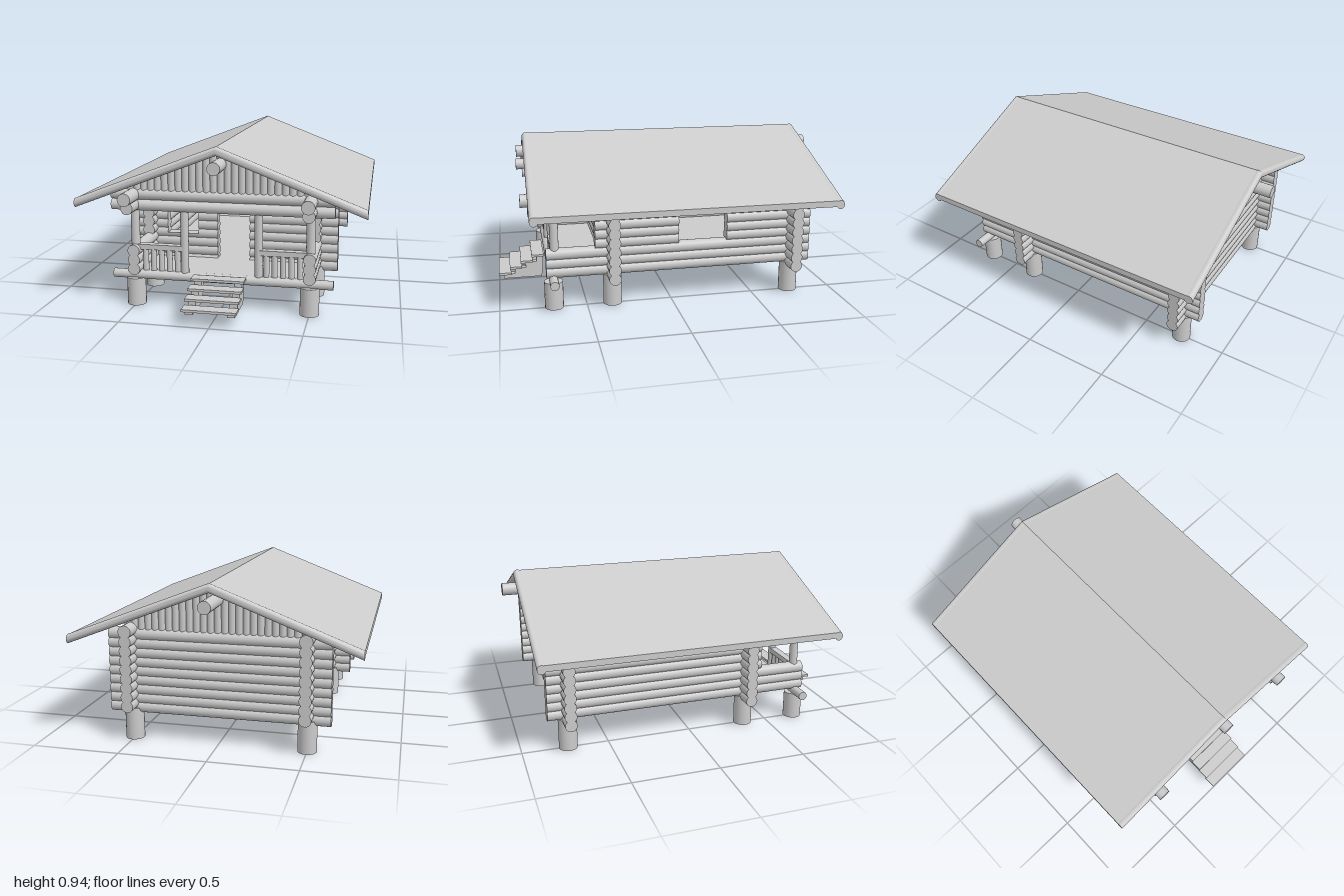
import * as THREE from 'three';
import { toCreasedNormals } from 'three/addons/utils/BufferGeometryUtils.js';

const mat = new THREE.MeshStandardMaterial({ color: 0xcccccc });
const R = 0.035;        // wall log radius
const STEP = 0.053;     // log course height
const SLOPE = 0.385;    // roof fall per unit of x

function add(parent, name, geo, x = 0, y = 0, z = 0) {
  const mesh = new THREE.Mesh(geo, mat);
  mesh.name = name;
  mesh.position.set(x, y, z);
  parent.add(mesh);
  return mesh;
}

const box = (p, name, w, h, d, x, y, z) => add(p, name, new THREE.BoxGeometry(w, h, d), x, y, z);

// Upright round pole between two heights
const pole = (p, name, r, y0, y1, x, z) =>
  add(p, name, new THREE.CylinderGeometry(r, r, y1 - y0, 20), x, (y0 + y1) / 2, z);

// Lying log from a to b along 'x' or 'z'; half = 1 keeps the upper half, -1 the lower
function log(p, name, axis, a, b, y, fixed, r = R, half = 0) {
  let geo;
  if (half) {
    const shape = new THREE.Shape();
    shape.absarc(0, 0, r, half > 0 ? 0 : Math.PI, half > 0 ? Math.PI : 2 * Math.PI, false);
    geo = new THREE.ExtrudeGeometry(shape, { depth: b - a, bevelEnabled: false, curveSegments: 10 });
    geo = toCreasedNormals(geo.translate(0, 0, (a - b) / 2), 0.6);
  } else {
    geo = new THREE.CylinderGeometry(r, r, b - a, 20).rotateX(Math.PI / 2);
  }
  if (axis === 'x') geo.rotateY(Math.PI / 2);
  const mid = (a + b) / 2;
  return add(p, name, geo, axis === 'x' ? mid : fixed, y, axis === 'x' ? fixed : mid);
}

// One course of a wall, interrupted by openings {a, b, lo, hi}
function course(p, name, axis, start, end, y, fixed, openings = []) {
  let from = start;
  for (const o of openings) {
    const atSill = Math.abs(y - o.lo) < 0.014, atHead = Math.abs(y - o.hi) < 0.014;
    if (!atSill && !atHead && (y < o.lo || y > o.hi)) continue;
    log(p, name, axis, from, o.a, y, fixed);
    if (atSill || atHead) log(p, name, axis, o.a, o.b, y, fixed, R, atHead ? 1 : -1);
    from = o.b;
  }
  log(p, name, axis, from, end, y, fixed);
}

// Vertical poles filling the triangle under the roof
function gable(p, name, z, bottom) {
  const g = new THREE.Group();
  g.name = name;
  p.add(g);
  for (let i = -13; i <= 13; i++) {
    const x = i * 0.04, top = 0.905 - SLOPE * Math.abs(x);
    if (top > bottom + 0.02) pole(g, 'gablePole', 0.021, bottom, top, x, z);
  }
}

function section(parent, name) {
  const g = new THREE.Group();
  g.name = name;
  parent.add(g);
  return g;
}

export function createModel() {
  const model = new THREE.Group();
  model.name = 'logCabin';

  // Foundation posts
  const base = section(model, 'foundation');
  for (const x of [-0.5, 0.5]) {
    for (const [z, h] of [[0.69, 0.16], [0.35, 0.185], [-0.735, 0.185]]) {
      pole(base, 'foundationPost', 0.054, 0, h, x, z);
    }
  }
  box(model, 'floor', 1.0, 0.016, 1.425, 0, 0.192, -0.022);

  // Side walls: low courses form the porch parapet, top ones carry the roof
  const sideWindow = { a: -0.33, b: -0.04, lo: 0.35, hi: 0.535 };
  for (const s of [-1, 1]) {
    const wall = section(model, s > 0 ? 'leftWall' : 'rightWall');
    for (let i = 0; i < 8; i++) {
      const front = i < 3 ? 0.73 : i < 7 ? 0.45 : 0.82;
      course(wall, 'sideLog', 'z', -0.85, front, 0.215 + i * STEP, s * 0.5, s > 0 ? [sideWindow] : []);
    }
    log(wall, 'topPlate', 'z', -0.85, 0.86, 0.642, s * 0.5, 0.037);
  }

  // Back wall and inner front wall with window and doorway
  const frontOpenings = [
    { a: -0.4, b: -0.21, lo: 0.343, hi: 0.54 },
    { a: -0.09, b: 0.105, lo: 0.195, hi: 0.508 },
  ];
  const back = section(model, 'backWall'), front = section(model, 'frontWall');
  for (let i = 0; i < 9; i++) {
    const y = 0.188 + i * STEP;
    course(back, 'backLog', 'x', -0.63, 0.63, y, -0.735);
    course(front, 'frontLog', 'x', -0.63, 0.63, y, 0.35, frontOpenings);
  }

  // Porch beams, posts and railings
  const porch = section(model, 'porch');
  log(porch, 'sillBeam', 'x', -0.63, 0.63, 0.175, 0.69, 0.026);
  log(porch, 'lowerBeam', 'x', -0.63, 0.63, 0.582, 0.685, 0.032);
  log(porch, 'upperBeam', 'x', -0.63, 0.63, 0.645, 0.685, 0.032);
  for (const s of [-1, 1]) {
    pole(porch, 'cornerPost', 0.025, 0.34, 0.57, s * 0.5, 0.68);
    pole(porch, 'doorwayPost', 0.023, 0.19, 0.57, s * 0.212, 0.68);
    box(porch, 'handrail', 0.27, 0.03, 0.045, s * 0.355, 0.34, 0.68);
    for (let i = 0; i < 5; i++) {
      pole(porch, 'baluster', 0.017, 0.195, 0.33, s * (0.255 + i * 0.047), 0.68);
    }
  }

  // Steps: stepped stringers with four treads
  const steps = section(model, 'steps');
  const treads = [0.09, 0.125, 0.16, 0.195];
  treads.forEach((y, i) => box(steps, 'tread', 0.3, 0.014, 0.074, 0, y, 0.963 - i * 0.067));
  const side = new THREE.Shape();
  side.moveTo(0.73, 0.13);
  side.lineTo(0.74, 0.058);
  side.lineTo(0.97, 0.058);
  treads.forEach((y, i) => {
    side.lineTo(0.97 - i * 0.067, y - 0.005);
    side.lineTo(i < 3 ? 0.903 - i * 0.067 : 0.73, y - 0.005);
  });
  for (const x of [-0.115, 0.115]) {
    const geo = new THREE.ExtrudeGeometry(side, { depth: 0.042, bevelEnabled: false });
    add(steps, 'stringer', geo.translate(0, 0, -0.021).rotateY(-Math.PI / 2), x);
  }

  // Gables and ridge log
  gable(model, 'frontGable', 0.685, 0.65);
  gable(model, 'backGable', -0.735, 0.62);
  log(model, 'ridgeLog', 'z', -1.0, 0.86, 0.828, 0, 0.036);

  // Roof: folded slab with a mitred round pole along each end
  const roof = section(model, 'roof');
  const W = 0.805, drop = W * SLOPE, T = 0.035;
  const fold = new THREE.Shape();
  fold.moveTo(-W, 0.938 - drop);
  fold.lineTo(-W, 0.938 - drop - T);
  fold.lineTo(0, 0.938 - T);
  fold.lineTo(W, 0.938 - drop - T);
  fold.lineTo(W, 0.938 - drop);
  fold.lineTo(0, 0.938);
  const slab = new THREE.ExtrudeGeometry(fold, { depth: 1.7, bevelEnabled: false });
  add(roof, 'roofSlab', slab, 0, 0, -0.9);
  for (const z of [0.798, -0.905]) {
    const geo = new THREE.CylinderGeometry(0.024, 0.024, 2 * W, 20, 2).rotateZ(Math.PI / 2);
    const pos = geo.attributes.position;
    for (let i = 0; i < pos.count; i++) {
      pos.setY(i, pos.getY(i) * 1.07 - SLOPE * Math.abs(pos.getX(i)));
    }
    add(roof, 'vergePole', toCreasedNormals(geo, 0.6), 0, 0.915, z);
  }
  return model;
}
